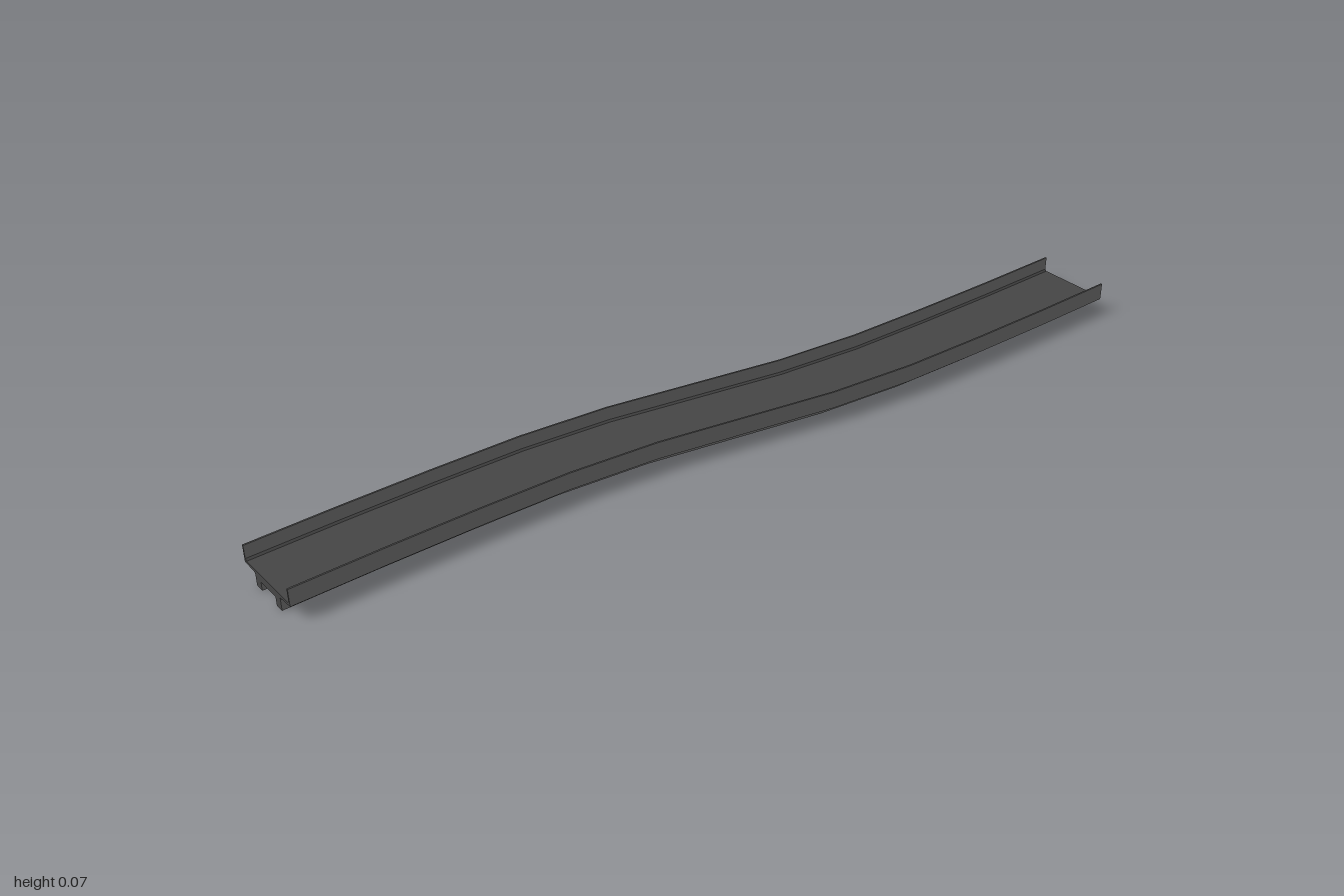
import * as THREE from 'three';

// Half-profile-symmetric track section (u across, y up), counter-clockwise seen from the front
const SECTION = [
  [-0.087, 0.033], [-0.048, 0.03], [-0.048, 0], [-0.028, 0], [-0.028, 0.02],
  [0.028, 0.02], [0.028, 0], [0.048, 0], [0.048, 0.03], [0.087, 0.033],
  [0.087, 0.072], [0.083, 0.072], [0.083, 0.042], [0.079, 0.038],
  [-0.079, 0.038], [-0.083, 0.042], [-0.083, 0.072], [-0.087, 0.072],
];

// Sideways shift of the S-bend at z = 0, 0.2 ... 1 (odd-symmetric)
const SHIFT = [0, 0.042, 0.067, 0.078, 0.085, 0.089];
const shiftAt = (i) => -Math.sign(i) * SHIFT[Math.abs(i)];

// Sweep the chosen section edges along the bend
function sweep(edges) {
  const positions = [];
  for (const e of edges) {
    const a = SECTION[e], b = SECTION[(e + 1) % SECTION.length];
    for (let i = -5; i < 5; i++) {
      const at = (p, k) => [p[0] + shiftAt(k), p[1], k * 0.2];
      const aF = at(a, i + 1), aB = at(a, i), bF = at(b, i + 1), bB = at(b, i);
      positions.push(...aF, ...aB, ...bB, ...aF, ...bB, ...bF);
    }
  }
  const geometry = new THREE.BufferGeometry();
  geometry.setAttribute('position', new THREE.Float32BufferAttribute(positions, 3));
  geometry.computeVertexNormals();
  return geometry;
}

export function createModel() {
  const darkGrey = new THREE.MeshStandardMaterial({ color: 0x464646 });
  darkGrey.name = 'dark grey';
  const midGrey = new THREE.MeshStandardMaterial({ color: 0x7e7e7e });
  midGrey.name = 'mid grey';

  const group = new THREE.Group();
  group.name = 'curvedTrack';
  const add = (name, geometry, material) => {
    const mesh = new THREE.Mesh(geometry, material);
    mesh.name = name;
    group.add(mesh);
    return mesh;
  };

  // Underside with its two runners, then the side walls
  add('undersideAndRunners', sweep([0, 1, 2, 3, 4, 5, 6, 7, 8]), midGrey);
  add('sideWalls', sweep([9, 11, 15, 17]), midGrey);

  // Running surface and wall rims
  add('floor', sweep([12, 13, 14]), darkGrey);
  add('wallRims', sweep([10, 16]), darkGrey);

  // End faces: the back one is the front one turned half a circle
  const shape = new THREE.Shape(SECTION.map(([u, y]) => new THREE.Vector2(u, y)));
  const cap = new THREE.ShapeGeometry(shape).translate(shiftAt(5), 0, 1);
  add('frontEnd', cap, darkGrey);
  add('backEnd', cap, darkGrey).rotation.y = Math.PI;

  return group;
}
